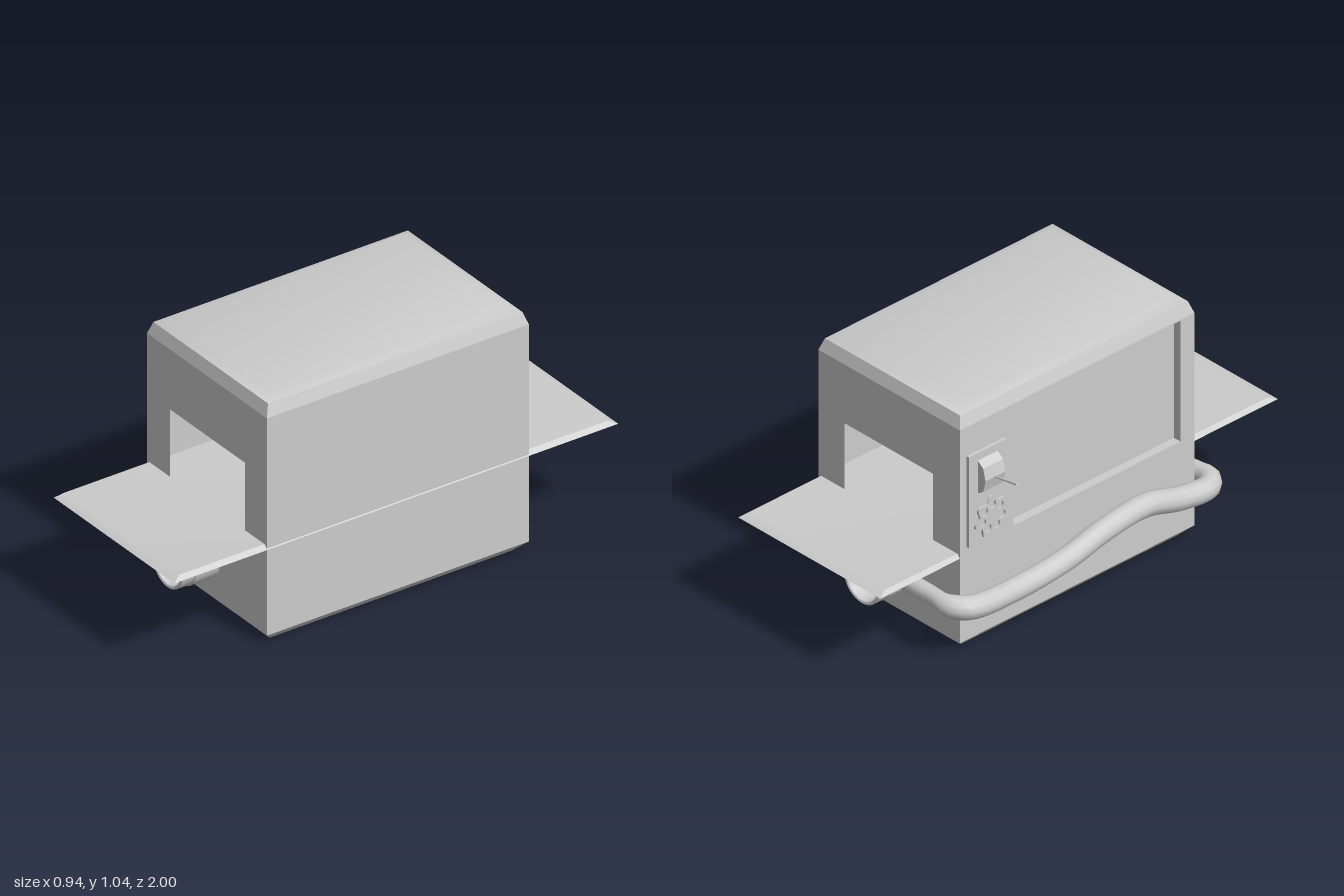
import * as THREE from 'three';
import { toCreasedNormals } from 'three/addons/utils/BufferGeometryUtils.js';

const grey = new THREE.MeshStandardMaterial({ color: 0xcccccc, side: THREE.DoubleSide });
grey.name = 'plain grey';

// Main sizes of the cabinet
const X0 = -0.3, X1 = 0.46, Z0 = -0.6, Z1 = 0.58, LOW = 0.045, HIGH = 0.97;

// Stack of rectangular rings [y, x0, x1, z0, z1], capped where asked
function loft(rings, capBottom, capTop) {
  const rows = rings.map(([y, x0, x1, z0, z1]) =>
    [[x0, y, z1], [x1, y, z1], [x1, y, z0], [x0, y, z0]]);
  const pos = [];
  const quad = (a, b, c, d) => pos.push(...a, ...b, ...c, ...a, ...c, ...d);
  for (let i = 0; i < rows.length - 1; i++) {
    for (let j = 0; j < 4; j++) {
      const k = (j + 1) % 4;
      quad(rows[i][j], rows[i][k], rows[i + 1][k], rows[i + 1][j]);
    }
  }
  if (capBottom) quad(...rows[0].slice().reverse());
  if (capTop) quad(...rows[rows.length - 1]);
  const geo = new THREE.BufferGeometry();
  geo.setAttribute('position', new THREE.Float32BufferAttribute(pos, 3));
  return toCreasedNormals(geo, 0.6);
}

const bodyRing = (y, inset) => [y, X0 + inset, X1 - inset, Z0 + inset, Z1 - inset];

function rect(path, u0, u1, v0, v1) {
  path.moveTo(u0, v0);
  path.lineTo(u1, v0);
  path.lineTo(u1, v1);
  path.lineTo(u0, v1);
  path.closePath();
  return path;
}

// Flat wall with an optional rectangular opening
function wall(u0, u1, hole) {
  const shape = rect(new THREE.Shape(), u0, u1, LOW, HIGH);
  if (hole) shape.holes.push(rect(new THREE.Path(), ...hole));
  return new THREE.ShapeGeometry(shape);
}

export function createModel() {
  const model = new THREE.Group();
  const add = (name, geo, x = 0, y = 0, z = 0, parent = model) => {
    const mesh = new THREE.Mesh(geo, grey);
    mesh.name = name;
    mesh.position.set(x, y, z);
    parent.add(mesh);
    return mesh;
  };

  // Hollow cabinet: chamfered foot, four thin walls, rounded roof
  add('cabinetFoot', loft([bodyRing(0, 0.045), bodyRing(LOW, 0)], true, false));
  add('cabinetRoof', loft([bodyRing(HIGH, 0), bodyRing(1.02, 0.017), bodyRing(1.038, 0.06)], false, true));
  const opening = [-0.155, 0.32, 0.42, 0.715];
  add('frontWall', wall(X0, X1, opening), 0, 0, Z1);
  add('backWall', wall(-X1, -X0, [-0.32, 0.155, 0.42, 0.715]).rotateY(Math.PI), 0, 0, Z0);
  add('leftWall', wall(-Z1, -Z0).rotateY(Math.PI / 2), X1);
  const win = [-0.33, 0.51, 0.44, 0.965];
  add('rightWall', wall(Z0, Z1, win).rotateY(-Math.PI / 2), X0);

  // Shallow recess behind the side window, open on its outer face
  const recess = new THREE.BoxGeometry(0.036, win[3] - win[2], win[1] - win[0]);
  recess.setIndex(Array.from(recess.index.array).filter((_, i) => i < 6 || i > 11));
  add('sideWindowRecess', recess, X0 + 0.018, (win[2] + win[3]) / 2, (win[0] + win[1]) / 2);

  // Thin table running right through the cabinet
  add('table', loft([[0.412, X0, 0.464, -1, 1], [0.428, X0 + 0.015, 0.445, -0.965, 0.965]], true, true));

  // Hollow ports at both ends
  const portProfile = [[0.1, 0], [0.1, 0.105], [0.096, 0.108], [0.096, 0.165], [0.09, 0.168],
    [0.083, 0.165], [0.083, 0.09], [0.066, 0.085], [0.066, 0.01], [0, 0.01]]
    .map(([r, h]) => new THREE.Vector2(r, h));
  for (const s of [1, -1]) {
    const port = toCreasedNormals(new THREE.LatheGeometry(portProfile, 32).rotateX(s * Math.PI / 2), 0.6);
    add(s > 0 ? 'frontPort' : 'backPort', port, 0.063, 0.213, s > 0 ? Z1 : Z0 + 0.012);
  }

  // Wavy hose joining the two ports, thicker along the side
  const path = new THREE.CatmullRomCurve3([
    [-0.02, 0.23, 0.635], [-0.18, 0.23, 0.64], [-0.3, 0.23, 0.645], [-0.352, 0.228, 0.6],
    [-0.352, 0.24, 0.46], [-0.352, 0.287, 0.28], [-0.352, 0.27, 0.08], [-0.352, 0.225, -0.12],
    [-0.352, 0.207, -0.36], [-0.352, 0.225, -0.6], [-0.3, 0.23, -0.65], [-0.18, 0.23, -0.65], [-0.02, 0.23, -0.65],
  ].map((p) => new THREE.Vector3(...p)));
  const hose = new THREE.TubeGeometry(path, 72, 0.036, 12);
  const hp = hose.attributes.position, hn = hose.attributes.normal;
  for (let i = 0; i < hp.count; i++) {
    const grow = 0.011 * THREE.MathUtils.smoothstep(-hp.getX(i), 0.25, 0.33);
    hp.setXYZ(i, hp.getX(i) + hn.getX(i) * grow, hp.getY(i) + hn.getY(i) * grow, hp.getZ(i) + hn.getZ(i) * grow);
  }
  add('hose', hose);

  // Control panel on the right side
  const controls = new THREE.Group();
  controls.name = 'controls';
  controls.position.z = -0.473;
  model.add(controls);
  add('controlPanel', new THREE.BoxGeometry(0.014, 0.395, 0.19), -0.307, 0.6475, 0, controls);

  // Switch housing with its lever
  const housing = new THREE.Shape([[-0.314, 0.67], [-0.314, 0.812], [-0.343, 0.79], [-0.355, 0.74], [-0.343, 0.69]]
    .map((p) => new THREE.Vector2(...p)));
  add('switchHousing', new THREE.ExtrudeGeometry(housing, { depth: 0.1, bevelEnabled: false }), 0, 0, -0.05, controls);
  const lever = add('lever', new THREE.CylinderGeometry(0.006, 0.004, 0.125, 8), -0.41, 0.75, 0, controls);
  lever.rotation.z = Math.PI / 2 - 0.18;

  // Scalloped handwheel with round cut-outs
  const lobes = 7, outline = [];
  for (let i = 0; i < 84; i++) {
    const a = (i / 84) * Math.PI * 2;
    const r = 0.076 + 0.0115 * Math.cos(lobes * a);
    outline.push(new THREE.Vector2(r * Math.sin(a), r * Math.cos(a)));
  }
  const wheel = new THREE.Shape(outline);
  for (let i = 0; i < lobes; i++) {
    const a = (i / lobes) * Math.PI * 2;
    wheel.holes.push(new THREE.Path().absarc(0.05 * Math.sin(a), 0.05 * Math.cos(a), 0.016, 0, Math.PI * 2, true));
  }
  const wheelGeo = new THREE.ExtrudeGeometry(wheel, { depth: 0.01, bevelEnabled: false, curveSegments: 8 });
  add('handwheel', wheelGeo.rotateY(-Math.PI / 2), -0.331, 0.5625, 0, controls);
  add('wheelShaft', new THREE.CylinderGeometry(0.008, 0.008, 0.03, 12).rotateZ(Math.PI / 2), -0.325, 0.5625, 0, controls);

  return model;
}
